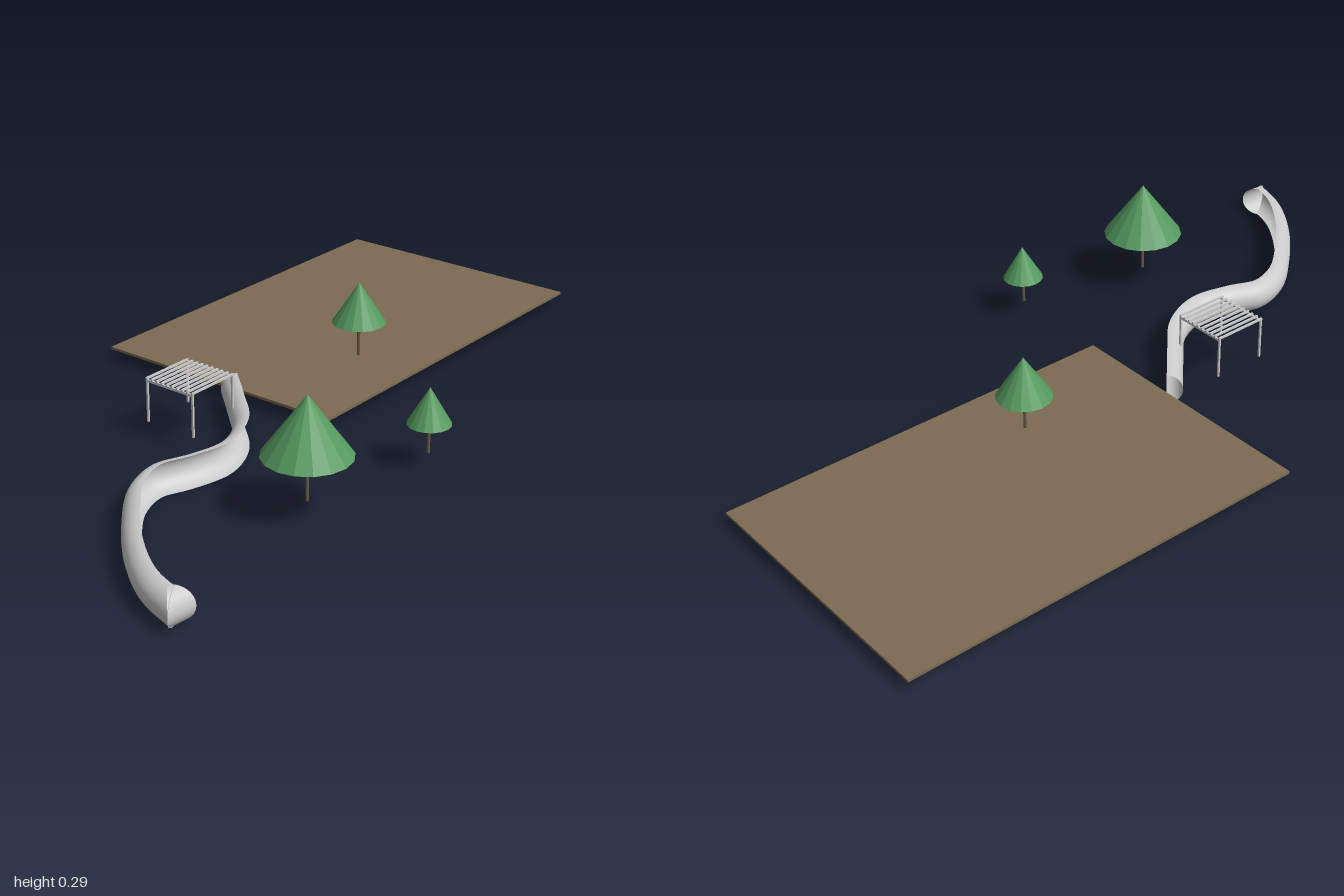
import * as THREE from 'three';

const mat = (name, color, extra = {}) => {
  const m = new THREE.MeshStandardMaterial({ color, ...extra });
  m.name = name;
  return m;
};

function add(parent, name, geometry, material, x = 0, y = 0, z = 0) {
  const mesh = new THREE.Mesh(geometry, material);
  mesh.name = name;
  mesh.position.set(x, y, z);
  parent.add(mesh);
  return mesh;
}

// Surface lofted through rows of points
function loft(rows) {
  const n = rows[0].length, index = [];
  for (let i = 0; i < rows.length - 1; i++)
    for (let j = 0; j < n - 1; j++) {
      const a = i * n + j, b = a + n;
      index.push(a, b, a + 1, b, b + 1, a + 1);
    }
  const g = new THREE.BufferGeometry();
  g.setAttribute('position', new THREE.Float32BufferAttribute(rows.flat(2), 3));
  g.setIndex(index);
  g.computeVertexNormals();
  return g;
}

// Upright half-round section: bulge at (bx, bz), open rim at (rx, rz)
function halfRound(bx, bz, rx, rz) {
  const R = 0.0415, steps = 20, row = [];
  for (let j = 0; j <= steps; j++) {
    const a = (j / steps - 0.5) * Math.PI, c = Math.cos(a);
    row.push([rx + (bx - rx) * c, R + R * Math.sin(a), rz + (bz - rz) * c]);
  }
  return row;
}

export function createModel() {
  const model = new THREE.Group();
  const stone = mat('light stone', 0xcccccc, { side: THREE.DoubleSide });
  const wood = mat('deck brown', 0x7d6b52);
  const bark = mat('bark brown', 0x6b5a45);
  const leaf = mat('leaf green', 0x559a5f, { flatShading: true });

  // Flat ground deck
  add(model, 'deck', new THREE.BoxGeometry(1.08, 0.007, 0.715), wood, 0.46, 0.034, -0.173);

  // Winding half-round wall, following the line of its outer bulge
  const path = new THREE.CatmullRomCurve3([
    [-0.115, -0.123], [-0.2, -0.03], [-0.29, 0.06], [-0.39, 0.1], [-0.48, 0.085], [-0.57, 0.055],
    [-0.665, 0.08], [-0.77, 0.16], [-0.88, 0.27], [-0.96, 0.385], [-1, 0.5],
  ].map(([x, z]) => new THREE.Vector3(x, 0, z)));
  const rows = [];
  for (let i = 0; i <= 80; i++) {
    const p = path.getPointAt(i / 80), t = path.getTangentAt(i / 80);
    const back = i > 76 ? (i - 76) * 0.011 : 0; // rim falls behind near the end
    rows.push(halfRound(p.x, p.z, p.x + t.z * 0.0415 - t.x * back, p.z - t.x * 0.0415 - t.z * back));
  }
  const wall = new THREE.Group();
  wall.name = 'windingWall';
  model.add(wall);
  add(wall, 'wallChannel', loft(rows), stone);
  // Turned-in lip closing the far end
  add(wall, 'wallEndLip', loft([halfRound(-1, 0.5, -0.962, 0.465), halfRound(-0.925, 0.508, -0.945, 0.468)]), stone);

  // Trees: x, z, leaf base, top, radius
  for (const [x, z, base, top, r] of [
    [-0.44, 0.403, 0.148, 0.292, 0.105],
    [-0.08, 0.475, 0.112, 0.203, 0.053],
    [0.28, 0.008, 0.13, 0.239, 0.07],
  ]) {
    const tree = new THREE.Group();
    tree.name = 'tree';
    tree.position.set(x, 0, z);
    model.add(tree);
    add(tree, 'trunk', new THREE.CylinderGeometry(0.004, 0.004, base - 0.036, 8), bark, 0, (base + 0.04) / 2, 0);
    add(tree, 'foliage', new THREE.ConeGeometry(r, top - base, 16), leaf, 0, (top + base) / 2, 0);
  }

  // Pergola: four posts, two beams and a row of slats
  const pergola = new THREE.Group();
  pergola.name = 'pergola';
  pergola.position.set(-0.293, 0, -0.065);
  model.add(pergola);
  for (const sx of [-1, 1]) {
    for (const sz of [-1, 1])
      add(pergola, 'post', new THREE.BoxGeometry(0.005, 0.105, 0.005), stone, sx * 0.071, 0.0945, sz * 0.071);
    add(pergola, 'beam', new THREE.BoxGeometry(0.005, 0.006, 0.148), stone, sx * 0.071, 0.149, 0);
  }
  for (let i = 0; i < 10; i++)
    add(pergola, 'slat', new THREE.BoxGeometry(0.148, 0.005, 0.005), stone, 0, 0.1545, -0.0715 + i * 0.0159);

  return model;
}
